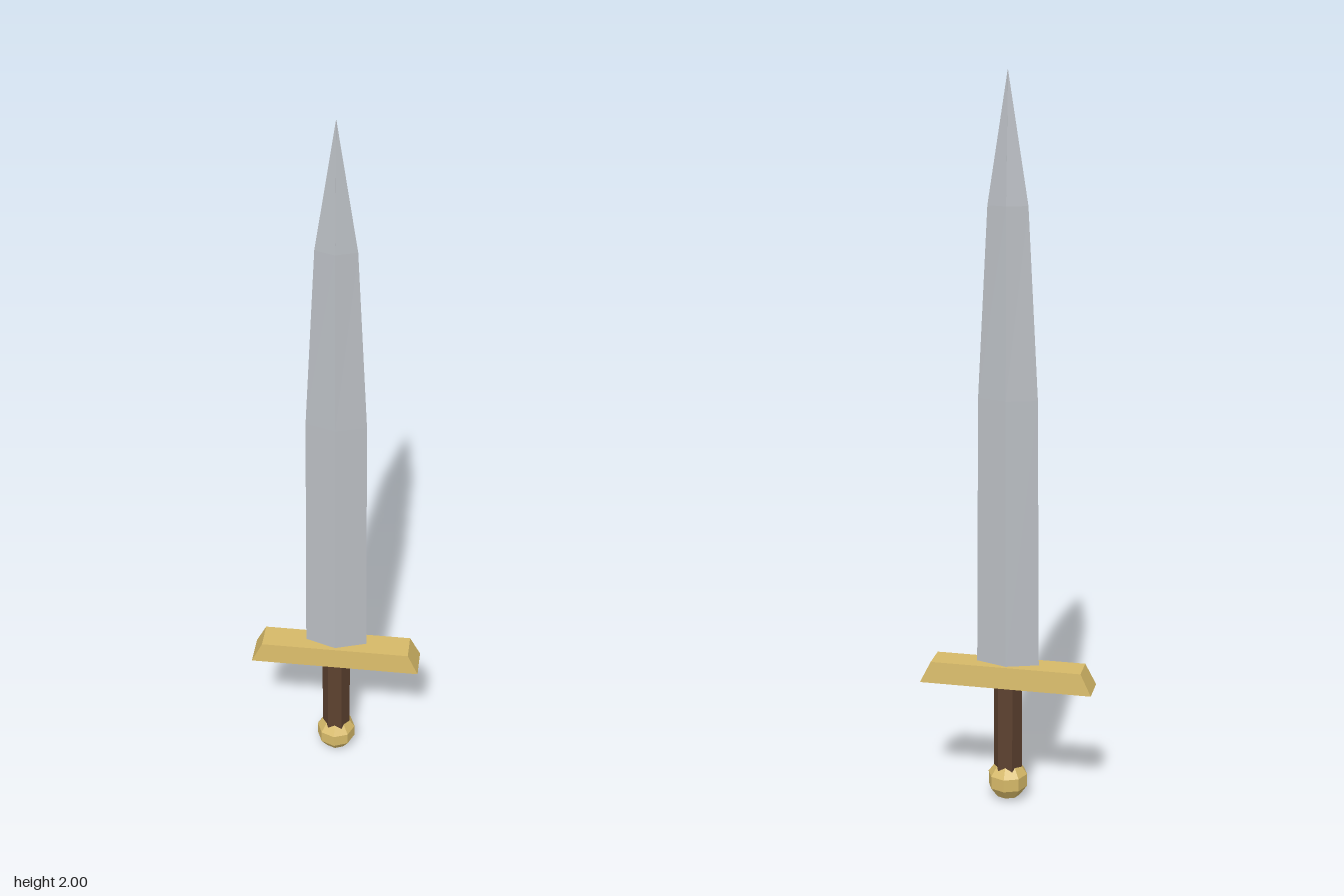
import * as THREE from 'three';

// Skins a stack of rings (points counterclockwise seen from above), with flat faces and end caps
function loft(rings) {
  const pos = [];
  const tri = (a, b, c) => pos.push(...a, ...b, ...c);
  const n = rings[0].length;
  for (let k = 0; k < rings.length - 1; k++) {
    for (let i = 0; i < n; i++) {
      const j = (i + 1) % n;
      const lo = rings[k], hi = rings[k + 1];
      tri(lo[i], lo[j], hi[j]);
      tri(lo[i], hi[j], hi[i]);
    }
  }
  const bottom = rings[0], top = rings[rings.length - 1];
  for (let i = 1; i < n - 1; i++) {
    tri(bottom[0], bottom[i + 1], bottom[i]);
    tri(top[0], top[i], top[i + 1]);
  }
  const geometry = new THREE.BufferGeometry();
  geometry.setAttribute('position', new THREE.Float32BufferAttribute(pos, 3));
  geometry.computeVertexNormals();
  return geometry;
}

const diamond = ([y, x, z]) => [[x, y, 0], [0, y, -z], [-x, y, 0], [0, y, z]];
const rectangle = ([y, x, z]) => [[x, y, z], [x, y, -z], [-x, y, -z], [-x, y, z]];

function flatMaterial(name, color) {
  const material = new THREE.MeshStandardMaterial({ color, flatShading: true });
  material.name = name;
  return material;
}

export function createModel() {
  const steel = flatMaterial('steel', 0xb9bdc2);
  const gold = flatMaterial('gold', 0xd6b968);
  const leather = flatMaterial('brown leather', 0x5c412f);

  const group = new THREE.Group();
  group.name = 'sword';
  const add = (name, geometry, material, y = 0) => {
    const mesh = new THREE.Mesh(geometry, material);
    mesh.name = name;
    mesh.position.y = y;
    group.add(mesh);
    return mesh;
  };

  // Double-edged blade: height, half width, half thickness
  const bladeSections = [
    [0.4, 0.087, 0.03],
    [1.15, 0.081, 0.027],
    [1.66, 0.054, 0.021],
    [2, 0.0005, 0.0005],
  ];
  add('blade', loft(bladeSections.map(diamond)), steel);

  // Crossguard, tapering upward
  const guardSections = [[0.345, 0.24, 0.045], [0.405, 0.21, 0.039]];
  add('crossguard', loft(guardSections.map(rectangle)), gold);

  // Six-sided grip with corners towards the sides
  const grip = new THREE.CylinderGeometry(0.04, 0.04, 0.26, 6);
  grip.rotateY(Math.PI / 2);
  add('grip', grip, leather, 0.22);

  // Faceted pommel
  add('pommel', new THREE.SphereGeometry(0.058, 8, 5), gold, 0.058);

  return group;
}
